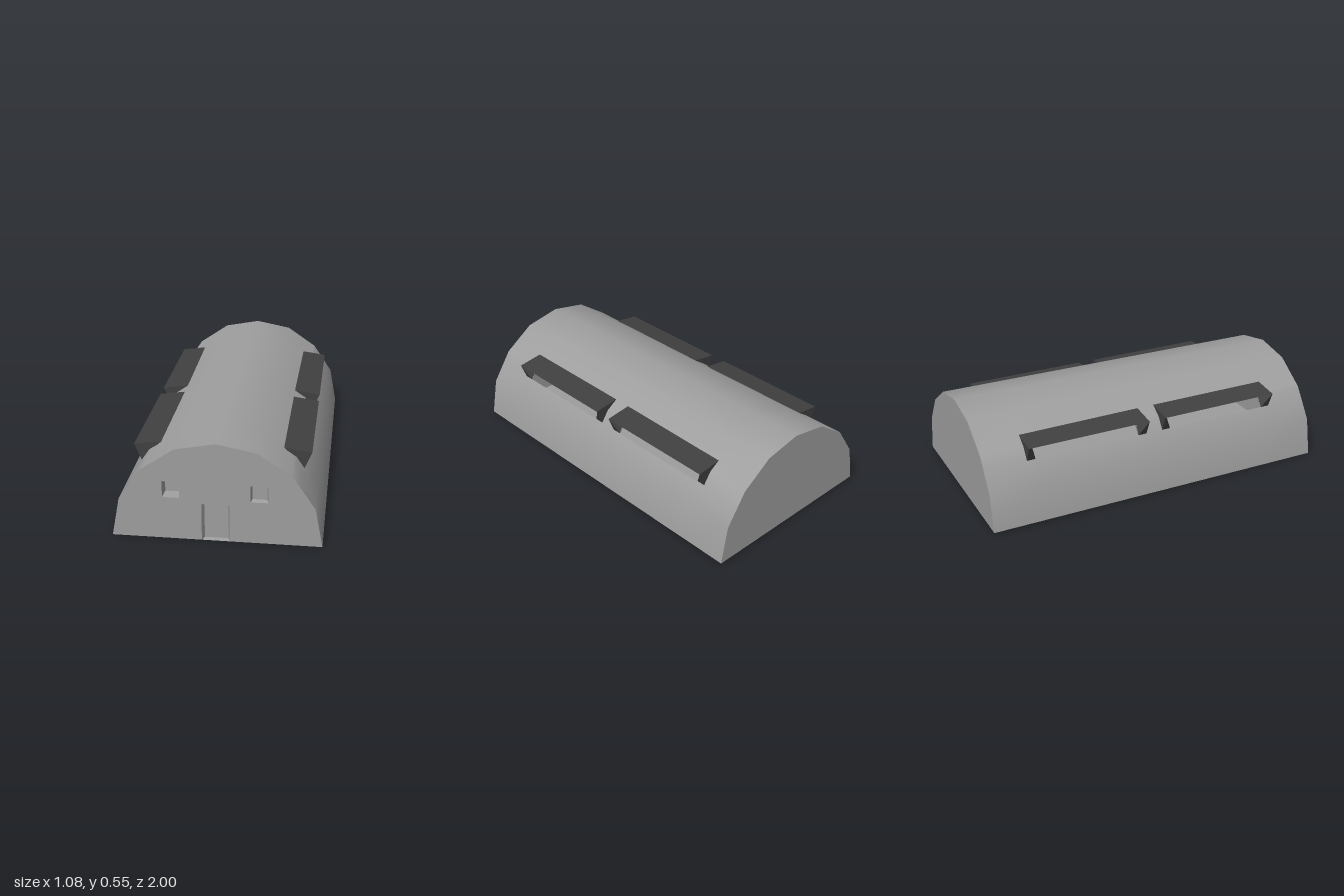
import * as THREE from 'three';
import { toCreasedNormals } from 'three/addons/utils/BufferGeometryUtils.js';

const grey = new THREE.MeshStandardMaterial({ color: 0x9e9e9e, side: THREE.DoubleSide });
const dark = new THREE.MeshStandardMaterial({ color: 0x404040, side: THREE.DoubleSide });

// Mesh from a list of faces, each with 3 or 4 corners in counter-clockwise order
function faceMesh(name, faces, material, crease) {
  const pos = [];
  for (const f of faces) {
    for (let i = 1; i < f.length - 1; i++) pos.push(...f[0], ...f[i], ...f[i + 1]);
  }
  const geo = new THREE.BufferGeometry();
  geo.setAttribute('position', new THREE.Float32BufferAttribute(pos, 3));
  geo.computeVertexNormals();
  const mesh = new THREE.Mesh(crease ? toCreasedNormals(geo, crease) : geo, material);
  mesh.name = name;
  return mesh;
}

// Half arch from the ground to the ridge. Points 2 and 4 bound the side openings;
// their third number is the facet slope, so they stay level and slide outwards instead
const half = [[0.54, 0], [0.5, 0.21], [0.426, 0.32, 0.677], [0.385, 0.38], [0.37, 0.39, 1.458], [0.21, 0.5], [0, 0.54]];
const stations = [1, 0.71, 0.1, -0.1, -0.71, -1];

// Whole arch at one station; it rises slightly towards the back
function archAt(z) {
  const lift = 0.005 * (1 - z);
  const side = half.map(([x, y, slope]) => (slope ? [x + slope * lift, y, z] : [x, y + lift, z]));
  return [...side, ...side.slice(0, -1).reverse().map(([x, y]) => [-x, y, z])];
}

// Arched shell with two long openings on each side
function roofShell() {
  const rings = stations.map(archAt);
  const count = rings[0].length - 1;
  const faces = [];
  for (let i = 0; i < count; i++) {
    for (let k = 0; k < stations.length - 1; k++) {
      const row = Math.min(i, count - 1 - i);
      if ((row === 2 || row === 3) && (k === 1 || k === 3)) continue;
      faces.push([rings[k][i], rings[k + 1][i], rings[k + 1][i + 1], rings[k][i + 1]]);
    }
  }
  return faceMesh('archedRoof', faces, grey, 0.75);
}

// Rectangles as [left, right, bottom, top]
const doorRect = [-0.075, 0.07, 0, 0.205];
const windows = [
  { rect: [-0.275, -0.187, 0.233, 0.322], depth: 0.06 },
  { rect: [0.175, 0.263, 0.231, 0.32], depth: 0.025 },
];

const toVectors = points => points.map(([x, y]) => new THREE.Vector2(x, y));

function endWall(name, z, hasOpenings) {
  const points = archAt(z);
  const [l, r, b, t] = doorRect;
  if (hasOpenings) points.push([l, b], [l, t], [r, t], [r, b]);
  const shape = new THREE.Shape(toVectors(points));
  if (hasOpenings) {
    for (const { rect: [wl, wr, wb, wt] } of windows) {
      shape.holes.push(new THREE.Path(toVectors([[wl, wb], [wl, wt], [wr, wt], [wr, wb]])));
    }
  }
  const mesh = new THREE.Mesh(new THREE.ShapeGeometry(shape), grey);
  mesh.name = name;
  mesh.position.z = z;
  if (z < 0) mesh.rotation.y = Math.PI;
  return mesh;
}

// Splayed recess ending in a flat panel
function recess(name, [l, r, b, t], inset, bottomInset, depth) {
  const outer = [[l, b, 1], [r, b, 1], [r, t, 1], [l, t, 1]];
  const z = 1 - depth, lo = b + bottomInset;
  const inner = [[l + inset, lo, z], [r - inset, lo, z], [r - inset, t - inset, z], [l + inset, t - inset, z]];
  const faces = [inner];
  for (let i = 0; i < 4; i++) {
    const j = (i + 1) % 4;
    faces.push([outer[i], outer[j], inner[j], inner[i]]);
  }
  return faceMesh(name, faces, grey);
}

// Wedge hood with a splayed lining around one side opening
function hood(zMid) {
  const w = 0.355, n = 0.305;
  const root = s => [0.32, 0.43, s * w];
  const rimTop = s => [0.465, 0.41, s * w];
  const rimLow = s => [0.428, 0.32, s * w];
  const holeTop = s => [0.374, 0.39, s * n];
  const holeLow = s => [0.428, 0.32, s * n];
  const mesh = faceMesh('windowHood', [
    [root(1), rimTop(1), rimTop(-1), root(-1)],
    [root(1), rimLow(1), rimTop(1)],
    [root(-1), rimTop(-1), rimLow(-1)],
    [rimTop(1), holeTop(1), holeTop(-1), rimTop(-1)],
    [rimTop(1), rimLow(1), holeLow(1), holeTop(1)],
    [rimTop(-1), holeTop(-1), holeLow(-1), rimLow(-1)],
  ], dark);
  mesh.position.z = zMid;
  return mesh;
}

export function createModel() {
  const model = new THREE.Group();
  model.name = 'archedHut';

  // Shell, end walls and floor
  model.add(roofShell(), endWall('frontWall', 1, true), endWall('backWall', -1, false));
  model.add(faceMesh('floor', [[[-0.54, 0.01, -1], [0.54, 0.01, -1], [0.54, 0, 1], [-0.54, 0, 1]]], grey));

  // Front door and windows
  model.add(recess('door', doorRect, 0.012, 0.004, 0.025));
  for (const { rect, depth } of windows) model.add(recess('frontWindow', rect, 0.006, 0.006, depth));

  // Hoods, two per side
  for (const side of [1, -1]) {
    const row = new THREE.Group();
    row.name = side > 0 ? 'leftHoods' : 'rightHoods';
    row.add(hood(0.405), hood(-0.405));
    row.scale.x = side;
    model.add(row);
  }
  return model;
}
